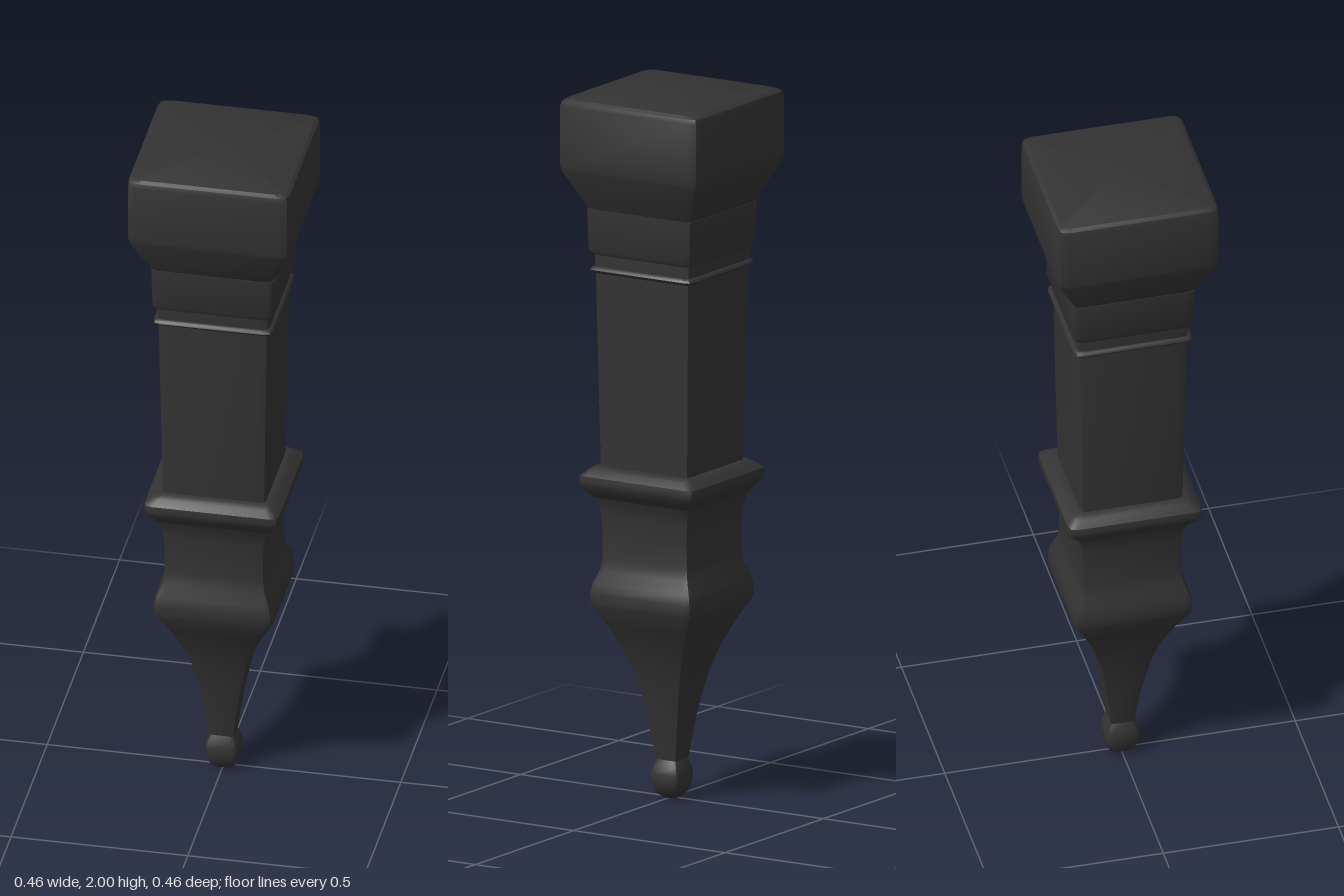
import * as THREE from 'three';
import { toCreasedNormals } from 'three/addons/utils/BufferGeometryUtils.js';

// Square outline with softened corners, half width 1, running from +z towards +x
function outline(corner, flat) {
  const side = [[-flat, 1], [flat, 1], [corner, corner]];
  const points = [];
  for (let i = 0; i < 4; i++) {
    const c = Math.round(Math.cos(i * Math.PI / 2)), s = Math.round(Math.sin(i * Math.PI / 2));
    for (const [x, z] of side) points.push([x * c + z * s, z * c - x * s]);
  }
  return points;
}

// Loft the outline through [half width, height] pairs, listed bottom to top
function loft(profile, corner = 0.97, flat = 0.87) {
  const ring = outline(corner, flat), n = ring.length;
  const positions = [], index = [];
  for (const [r, y] of profile) for (const [x, z] of ring) positions.push(x * r, y, z * r);
  for (let j = 0; j < profile.length - 1; j++) {
    for (let i = 0; i < n; i++) {
      const a = j * n + i, b = j * n + (i + 1) % n;
      index.push(a, b, b + n, a, b + n, a + n);
    }
  }
  // End caps
  const last = profile.length - 1;
  const low = positions.length / 3;
  positions.push(0, profile[0][1], 0, 0, profile[last][1], 0);
  for (let i = 0; i < n; i++) {
    const k = (i + 1) % n;
    index.push(low, k, i, low + 1, last * n + i, last * n + k);
  }
  const geometry = new THREE.BufferGeometry();
  geometry.setAttribute('position', new THREE.Float32BufferAttribute(positions, 3));
  geometry.setIndex(index);
  return toCreasedNormals(geometry, 0.6);
}

export function createModel() {
  const group = new THREE.Group();
  group.name = 'squareTurnedLeg';
  const material = new THREE.MeshStandardMaterial({ color: 0x333333 });

  const add = (name, profile, corner, flat) => {
    const mesh = new THREE.Mesh(loft(profile, corner, flat), material);
    mesh.name = name;
    group.add(mesh);
  };

  // Small rounded foot
  add('foot', [[0.02, 0], [0.036, 0.015], [0.046, 0.04], [0.048, 0.07], [0.043, 0.09], [0.034, 0.11]], 0.88, 0.6);
  // Concave taper flaring up to the swollen knee and waist
  add('taper', [
    [0.034, 0.11], [0.039, 0.15], [0.049, 0.22], [0.062, 0.29], [0.078, 0.36],
    [0.102, 0.43], [0.132, 0.495], [0.168, 0.56], [0.169, 0.59], [0.163, 0.62],
    [0.149, 0.655], [0.143, 0.69], [0.143, 0.76], [0.146, 0.81], [0.151, 0.84], [0.161, 0.862],
  ]);
  // Projecting ring moulding
  add('ringMoulding', [
    [0.161, 0.862], [0.175, 0.878], [0.189, 0.897], [0.192, 0.91], [0.19, 0.926], [0.172, 0.942], [0.16, 0.95], [0.146, 0.951],
  ]);
  // Long shaft, slightly wider at the top
  add('shaft', [[0.147, 0.95], [0.157, 1.5]]);
  // Thin bead and neck under the collar
  add('bead', [[0.157, 1.5], [0.166, 1.505], [0.169, 1.51], [0.166, 1.516], [0.159, 1.52]]);
  add('neck', [[0.159, 1.52], [0.159, 1.555]]);
  // Collar block
  add('collar', [[0.159, 1.553], [0.166, 1.556], [0.172, 1.568], [0.175, 1.685]]);
  // Flared top block with bevelled edge
  add('topBlock', [[0.173, 1.685], [0.228, 1.795], [0.231, 1.81], [0.231, 1.98], [0.227, 1.993], [0.217, 2]]);

  return group;
}
